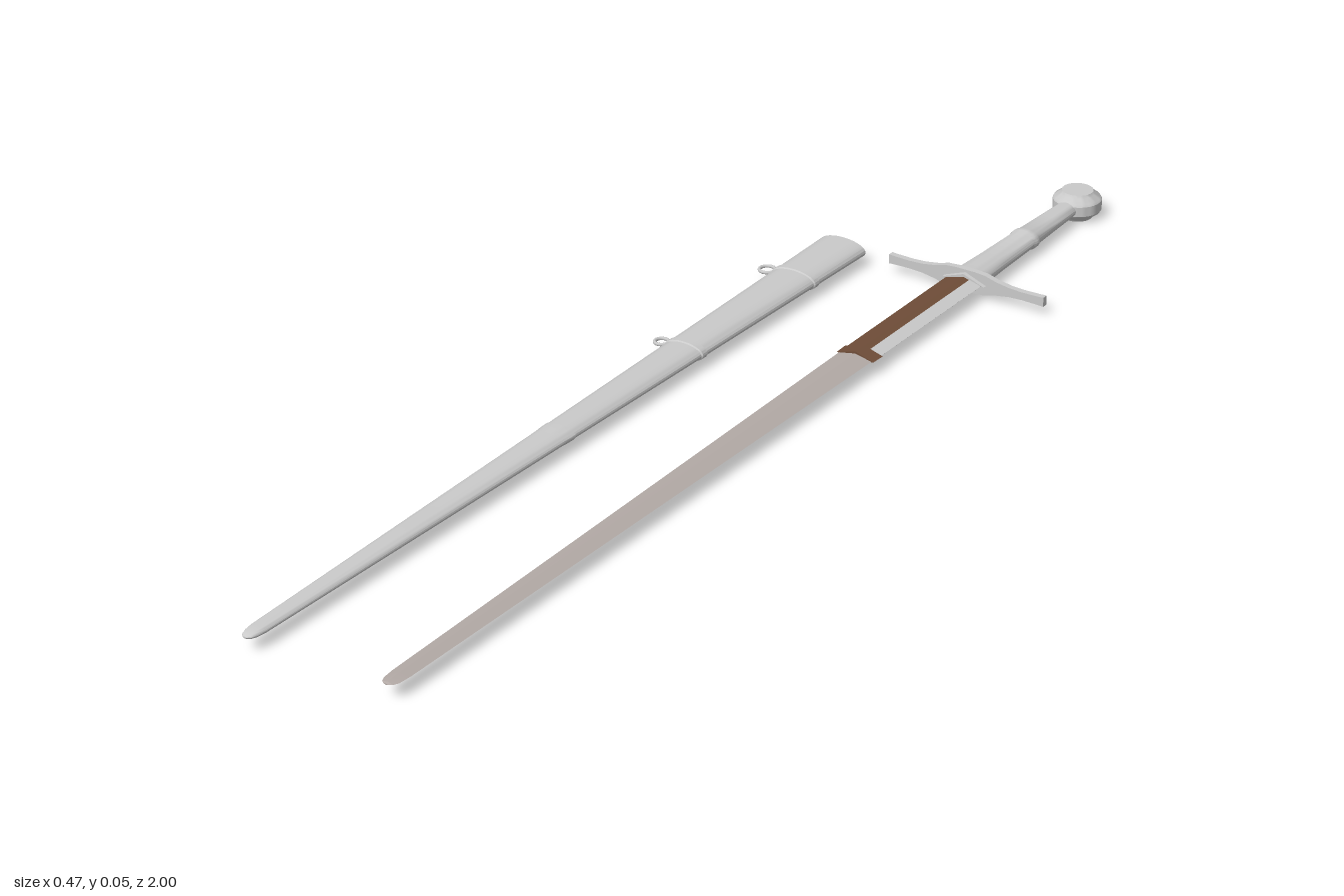
import * as THREE from 'three';
import { toCreasedNormals } from 'three/addons/utils/BufferGeometryUtils.js';

const AXIS_Y = 0.026;
const steel = new THREE.MeshStandardMaterial({ color: 0xcacaca });
steel.name = 'pale steel';
const bladeMetal = new THREE.MeshStandardMaterial({ color: 0xb3aaa6 });
bladeMetal.name = 'warm blade grey';
const leather = new THREE.MeshStandardMaterial({ color: 0x6f4d38 });
leather.name = 'brown leather';

// unit cross-sections, counter-clockwise in the xy plane
const ellipse = Array.from({ length: 28 }, (_, i) => {
  const a = (i / 28) * Math.PI * 2;
  return [Math.cos(a), Math.sin(a)];
});
const diamond = [[1, 0], [0, 1], [-1, 0], [0, -1]];
const facePlate = [[1, 0], [1.02, 0.08], [0.35, 0.73], [0.35, 0.65]];

// skin a cross-section over stations [z, half width, half height]
function loft(section, stations, crease = 0.6) {
  const n = section.length, pos = [], idx = [];
  for (const [z, w, h] of stations) for (const [x, y] of section) pos.push(x * w, y * h, z);
  for (let s = 0; s < stations.length - 1; s++) {
    for (let j = 0; j < n; j++) {
      const a = s * n + j, b = s * n + (j + 1) % n;
      idx.push(a, b, b + n, a, b + n, a + n);
    }
  }
  const last = (stations.length - 1) * n;
  for (let j = 1; j < n - 1; j++) {
    idx.push(0, j + 1, j, last, last + j, last + j + 1);
  }
  const g = new THREE.BufferGeometry();
  g.setAttribute('position', new THREE.Float32BufferAttribute(pos, 3));
  g.setIndex(idx);
  return toCreasedNormals(g, crease);
}

function add(group, name, geometry, material) {
  const mesh = new THREE.Mesh(geometry, material);
  mesh.name = name;
  group.add(mesh);
  return mesh;
}

function makeSword() {
  const sword = new THREE.Group();
  sword.name = 'sword';
  sword.position.set(0.083, AXIS_Y, 0);

  add(sword, 'blade', loft(diamond, [
    [-0.58, 0.032, 0.007], [-0.22, 0.031, 0.0065], [0.4, 0.023, 0.005], [0.95, 0.016, 0.004],
    [0.972, 0.014, 0.0035], [0.981, 0.01, 0.0025], [0.985, 0.004, 0.001],
  ], 0.15), bladeMetal);

  // leather sleeve over the base of the blade
  add(sword, 'bladeSleeve', loft(diamond, [[-0.575, 0.034, 0.0095], [-0.25, 0.0325, 0.0085]], 0.15), leather);
  add(sword, 'sleeveBand', loft(diamond, [[-0.252, 0.036, 0.0105], [-0.225, 0.035, 0.01]], 0.15), leather);
  add(sword, 'sleeveFacing', loft(facePlate, [[-0.572, 0.034, 0.0095], [-0.252, 0.0325, 0.0085]], 0.15), steel);
  add(sword, 'guardCollar', loft(diamond, [[-0.578, 0.042, 0.016], [-0.565, 0.04, 0.0145]], 0.15), steel);

  // crossguard: waisted arms swelling into the middle
  const half = [[0.152, 0.0085], [0.14, 0.0078], [0.11, 0.0072], [0.085, 0.0085], [0.06, 0.0125], [0.038, 0.0185], [0.018, 0.02]];
  const top = [...half.map(([x, y]) => [x, y]), ...half.slice().reverse().map(([x, y]) => [-x, y])];
  const outline = [...top, ...top.slice().reverse().map(([x, y]) => [x, -y])];
  const guard = new THREE.ExtrudeGeometry(
    new THREE.Shape(outline.map(([x, y]) => new THREE.Vector2(x, y))), { depth: 0.011, bevelEnabled: false });
  add(sword, 'crossguard', guard, steel).position.z = -0.583;

  // grip with a raised ring in the middle
  add(sword, 'grip', loft(ellipse, [
    [-0.925, 0.019, 0.014], [-0.85, 0.022, 0.015], [-0.782, 0.025, 0.016], [-0.777, 0.0275, 0.018],
    [-0.767, 0.0275, 0.018], [-0.762, 0.025, 0.0165], [-0.66, 0.028, 0.017], [-0.6, 0.031, 0.018], [-0.58, 0.033, 0.019],
  ]), steel);

  // wheel pommel
  const profile = [[0, -0.025], [0.028, -0.025], [0.031, -0.02], [0.041, -0.013], [0.0435, -0.009],
    [0.0435, 0.009], [0.041, 0.013], [0.031, 0.02], [0.028, 0.025], [0, 0.025]];
  const wheel = new THREE.LatheGeometry(profile.map(([r, y]) => new THREE.Vector2(r, y)), 36);
  add(sword, 'pommel', toCreasedNormals(wheel, 0.5), steel).position.z = -0.9565;
  return sword;
}

function makeScabbard() {
  const scabbard = new THREE.Group();
  scabbard.name = 'scabbard';
  scabbard.position.set(-0.161, AXIS_Y, 0);

  // half width and half height along the length
  const width = z => THREE.MathUtils.mapLinear(z, -0.57, 0.97, 0.046, 0.0145);
  const height = z => THREE.MathUtils.mapLinear(z, -0.57, 0.97, 0.0175, 0.007);
  const at = (z, grow = 0) => [z, width(z) + grow, height(z) + grow];

  // hollow mouth first, then the outer wall
  add(scabbard, 'scabbardBody', loft(ellipse, [
    at(-0.2, -0.004), at(-0.57, -0.004), at(-0.57), at(-0.2), at(0.3),
  ]), steel);
  add(scabbard, 'chape', loft(ellipse, [
    at(0.25), at(0.25, 0.0012), at(0.265, 0.0012), at(0.28, 0.0003), at(0.6, 0.0003), at(0.97),
    [0.985, 0.0125, 0.006], [0.995, 0.009, 0.004], [1, 0.003, 0.0015],
  ]), steel);

  // hanging bands, each with a carrying ring on the outer edge
  for (const [z, r] of [[-0.42, 0.0135], [-0.095, 0.0115]]) {
    add(scabbard, 'hangerBand', loft(ellipse, [
      at(z - 0.008), at(z - 0.006, 0.002), at(z + 0.006, 0.002), at(z + 0.008),
    ]), steel);
    const ring = add(scabbard, 'hangerRing', new THREE.TorusGeometry(r, 0.003, 8, 24), steel);
    ring.rotation.x = Math.PI / 2;
    ring.position.set(-width(z) - r - 0.001, 0, z);
  }
  return scabbard;
}

export function createModel() {
  const model = new THREE.Group();
  model.name = 'swordAndScabbard';
  model.add(makeSword(), makeScabbard());
  return model;
}
